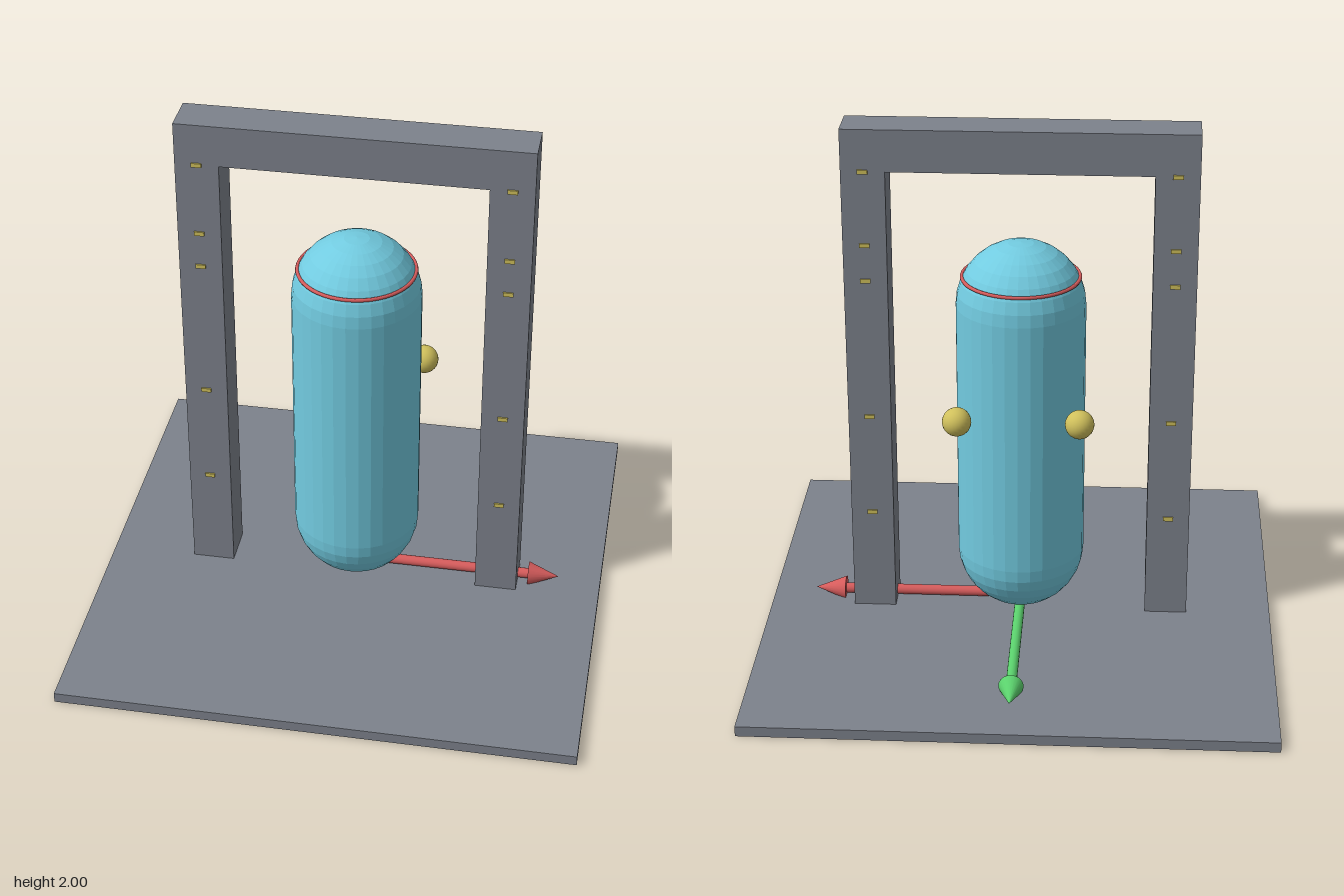
import * as THREE from 'three';

const paint = (name, color, flatShading = false) => {
  const m = new THREE.MeshStandardMaterial({ color });
  m.name = name;
  m.flatShading = flatShading;
  return m;
};

export function createModel() {
  const grey = paint('frame grey', 0x7d828c);
  const cyan = paint('body cyan', 0x72cbe0, true);
  const red = paint('axis red', 0xd65c5c);
  const green = paint('axis green', 0x5ad06c);
  const gold = paint('marker gold', 0xd0c05c);

  const model = new THREE.Group();
  model.name = 'capsuleInDoorway';

  const add = (parent, name, geometry, material, x = 0, y = 0, z = 0) => {
    const mesh = new THREE.Mesh(geometry, material);
    mesh.name = name;
    mesh.position.set(x, y, z);
    parent.add(mesh);
    return mesh;
  };

  // Floor slab
  add(model, 'floor', new THREE.BoxGeometry(1.96, 0.04, 1.96), grey, 0, 0.02, 0);

  // Door frame as one outline: two posts and a lintel
  const outline = new THREE.Shape();
  [[-0.653, 0.04], [-0.49, 0.04], [-0.49, 1.84], [0.49, 1.84],
    [0.49, 0.04], [0.653, 0.04], [0.653, 2], [-0.653, 2]]
    .forEach(([x, y], i) => (i ? outline.lineTo(x, y) : outline.moveTo(x, y)));
  const frame = new THREE.ExtrudeGeometry(outline, { depth: 0.163, bevelEnabled: false });
  add(model, 'doorFrame', frame, grey, 0, 0, -0.0815);

  // Height markers passing through both posts
  const markers = new THREE.Group();
  markers.name = 'heightMarkers';
  model.add(markers);
  const tick = new THREE.BoxGeometry(0.038, 0.016, 0.176);
  for (const side of [-1, 1])
    for (const y of [0.453, 0.86, 1.415, 1.555, 1.84])
      add(markers, 'heightMarker', tick, gold, side * 0.572, y, 0);

  // Capsule body with the eye-level ring
  add(model, 'capsuleBody', new THREE.CapsuleGeometry(0.245, 1.015, 8, 32), cyan, 0, 0.7975, 0);
  const ring = add(model, 'eyeLevelRing', new THREE.TorusGeometry(0.221, 0.007, 8, 48), red, 0, 1.415, 0);
  ring.rotation.x = Math.PI / 2;

  // Hand spheres behind the body
  for (const side of [-1, 1])
    add(model, side > 0 ? 'leftHand' : 'rightHand',
      new THREE.SphereGeometry(0.055, 24, 16), gold, side * 0.23, 0.905, -0.205);

  // Direction arrows on the floor, built upright and then laid down
  const arrow = (name, material) => {
    const group = new THREE.Group();
    group.name = name;
    group.position.y = 0.065;
    add(group, 'shaft', new THREE.CylinderGeometry(0.02, 0.02, 0.7, 16), material, 0, 0.35, 0);
    add(group, 'head', new THREE.ConeGeometry(0.047, 0.12, 20), material, 0, 0.755, 0);
    model.add(group);
    return group;
  };
  arrow('sideArrow', red).rotation.z = -Math.PI / 2;
  arrow('backArrow', green).rotation.x = -Math.PI / 2;

  return model;
}
